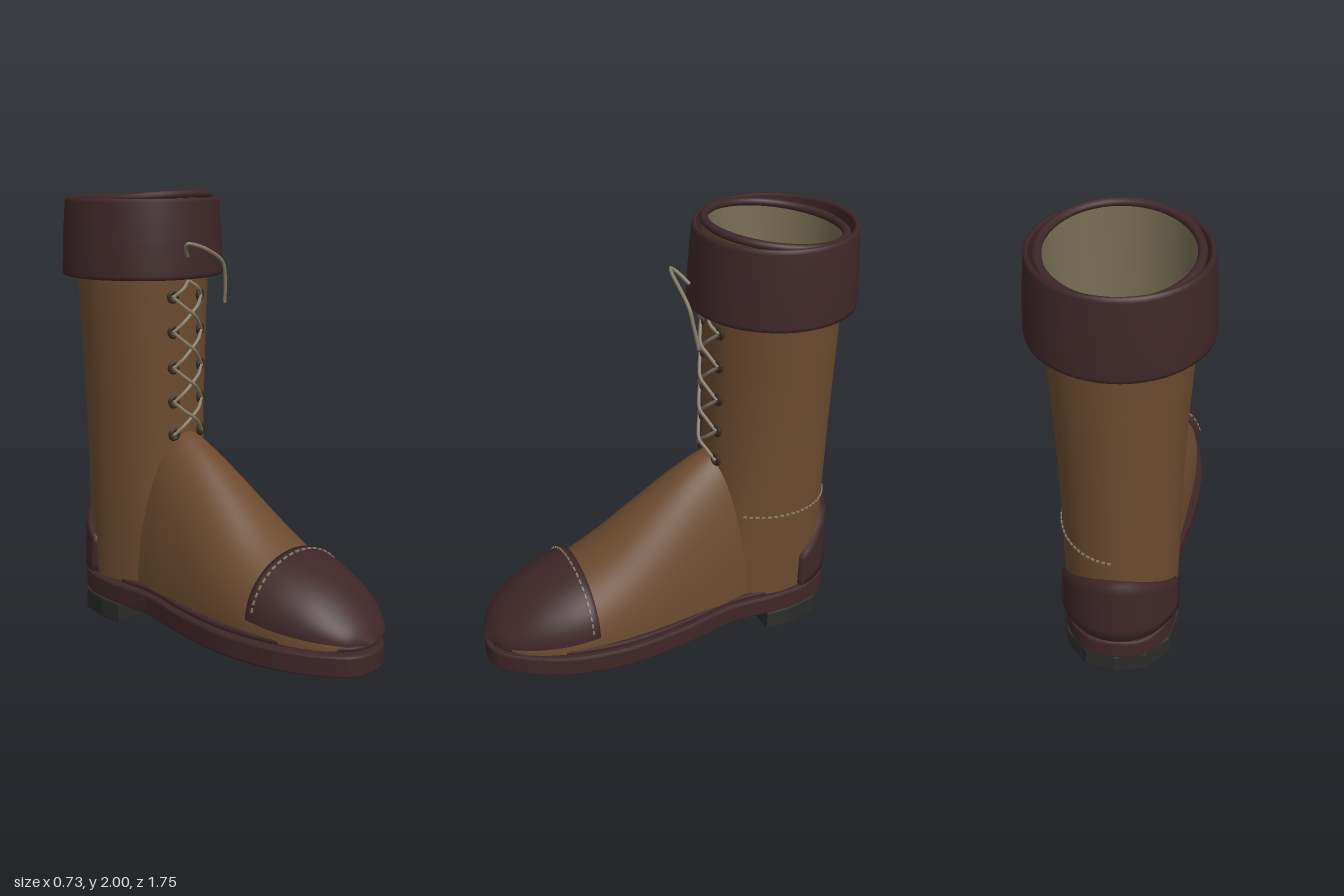
import * as THREE from 'three';
import { mergeVertices } from 'three/addons/utils/BufferGeometryUtils.js';

const mat = (name, color, side = THREE.FrontSide) => {
  const m = new THREE.MeshStandardMaterial({ color, side });
  m.name = name;
  return m;
};
const V = (x, y, z) => new THREE.Vector3(x, y, z);

// Smooth surface from a rule P(i, j) over a grid of nu x nv cells
function grid(nu, nv, P) {
  const pos = [], idx = [];
  for (let j = 0; j <= nv; j++)
    for (let i = 0; i <= nu; i++) pos.push(...P(i, j));
  for (let j = 0; j < nv; j++)
    for (let i = 0; i < nu; i++) {
      const a = j * (nu + 1) + i, b = a + nu + 1;
      idx.push(a, a + 1, b + 1, a, b + 1, b);
    }
  let g = new THREE.BufferGeometry();
  g.setAttribute('position', new THREE.Float32BufferAttribute(pos, 3));
  g.setIndex(idx);
  g = mergeVertices(g, 1e-5);
  g.computeVertexNormals();
  return g;
}

// Upright tube; rows are [y, half width, front depth, back depth, tilt]
const AXIS = -0.51;
function ringLoft(rows, inset = 0) {
  const n = 56;
  return grid(n, rows.length - 1, (i, j) => {
    const [y, rx, f, b, tilt = 0] = rows[j];
    const a = ((i % n) / n) * Math.PI * 2, c = Math.cos(a);
    const z = c * ((c > 0 ? f : b) - inset);
    return [(rx - inset) * Math.sin(a), y + tilt * z, AXIS + z];
  });
}

// Half-dome lofted along z; rows are [z, top, half width, base]
function domeLoft(rows, lip) {
  const along = k => new THREE.CatmullRomCurve3(rows.map(r => V(r[0], r[k], 0))).getPoints(36);
  const tops = along(1), widths = along(2), bases = along(3);
  const s = tops.map((p, i) => [p.x, p.y, widths[i].y, bases[i].y]);
  if (lip) s.unshift(lip);
  return grid(36, s.length - 1, (i, j) => {
    const [z, top, w, base] = s[j], a = (i / 36) * Math.PI;
    return [w * Math.cos(a), base + (top - base) * Math.sin(a), z];
  });
}

// Flat plate with a rounded edge, from a half outline of [x, z] points
function plate(half, top, bottom, bevel, smooth = true) {
  const mirror = half.slice(1, half[0][0] === 0 ? -1 : undefined);
  const left = (half[0][0] === 0 ? mirror : half.slice(0, -1)).map(([x, z]) => [-x, z]).reverse();
  let pts = [...half, ...left].map(([x, z]) => V(x, z, 0));
  if (smooth) pts = new THREE.CatmullRomCurve3(pts, true).getPoints(72).slice(0, -1);
  const g = new THREE.ExtrudeGeometry(new THREE.Shape(pts.map(p => new THREE.Vector2(p.x, p.y))), {
    depth: top - bottom - 2 * bevel, bevelThickness: bevel, bevelSize: bevel, bevelOffset: -bevel, bevelSegments: 2,
  });
  return g.rotateX(Math.PI / 2).translate(0, top - bevel, 0);
}

export function createModel() {
  const boot = new THREE.Group();
  boot.name = 'boot';
  const brown = mat('brown leather', 0x6b4a2f, THREE.DoubleSide);
  const maroon = mat('dark maroon leather', 0x3f2628, THREE.DoubleSide);
  const cream = mat('lining', 0x776d54, THREE.DoubleSide);
  const cord = mat('lace cord', 0x857b66);
  const black = mat('heel rubber', 0x2c2b2a);
  const metal = mat('eyelet', 0x35281f);
  const add = (name, geo, material, parent = boot) => {
    const m = new THREE.Mesh(geo, material);
    m.name = name;
    parent.add(m);
    return m;
  };
  const group = name => {
    const g = new THREE.Group();
    g.name = name;
    boot.add(g);
    return g;
  };

  // Sole, welt and heel block
  const outline = [[0, 0.872], [0.1, 0.845], [0.2, 0.72], [0.27, 0.57], [0.305, 0.4], [0.314, 0.25], [0.288, 0],
    [0.24, -0.25], [0.247, -0.5], [0.222, -0.68], [0.13, -0.8], [0, -0.83]];
  add('sole', plate(outline, 0.19, 0.095, 0.01), maroon);
  add('welt', plate(outline.map(([x, z]) => [x * 0.97, 0.02 + (z - 0.02) * 0.985]), 0.226, 0.203, 0.008), maroon);
  add('heel', plate([[0.25, -0.435], [0.256, -0.55], [0.225, -0.7], [0.13, -0.8], [0, -0.83]], 0.098, 0, 0.008, false), black);

  // Shaft with its lining and tilted rim
  const shaft = [[0.21, 0.245, 0.36, 0.288], [0.5, 0.25, 0.33, 0.288], [0.65, 0.252, 0.31, 0.288], [0.8, 0.255, 0.292, 0.29],
    [1, 0.26, 0.29, 0.292], [1.2, 0.27, 0.29, 0.295], [1.4, 0.282, 0.292, 0.298], [1.62, 0.297, 0.296, 0.3],
    [1.95, 0.308, 0.305, 0.305, 0.11]];
  add('shaft', ringLoft(shaft), brown);
  add('lining', ringLoft(shaft, 0.018), cream);
  const rim = new THREE.TorusGeometry(0.298, 0.018, 10, 56).rotateX(Math.PI / 2 - 0.11);
  add('rim', rim, maroon).position.set(0, 1.95, AXIS);

  // Turned-down cuff
  const cuff = [[0.34, 1.625], [0.352, 1.62], [0.364, 1.624], [0.366, 1.64], [0.36, 1.78], [0.348, 1.95], [0.343, 1.965],
    [0.331, 1.967], [0.326, 1.955], [0.333, 1.8], [0.34, 1.625]].map(p => new THREE.Vector2(...p));
  add('cuff', new THREE.LatheGeometry(cuff, 56), maroon).position.z = AXIS;

  // Vamp and toe cap
  add('vamp', domeLoft([[-0.67, 0.9, 0.19, 0.21], [-0.45, 0.92, 0.2, 0.21], [-0.32, 0.935, 0.216, 0.21],
    [-0.22, 0.925, 0.235, 0.21], [-0.1, 0.865, 0.25, 0.21], [0, 0.8, 0.262, 0.21], [0.15, 0.69, 0.278, 0.21],
    [0.3, 0.58, 0.285, 0.21], [0.43, 0.505, 0.28, 0.21], [0.6, 0.435, 0.25, 0.21], [0.75, 0.34, 0.18, 0.21],
    [0.84, 0.25, 0.08, 0.21]]), brown);
  add('toeCap', domeLoft([[0.43, 0.525, 0.297, 0.285], [0.55, 0.487, 0.28, 0.268], [0.67, 0.432, 0.24, 0.255],
    [0.76, 0.367, 0.19, 0.245], [0.83, 0.3, 0.125, 0.235], [0.873, 0.235, 0.02, 0.225]], [0.43, 0.5, 0.27, 0.285]), maroon);

  // Heel counter wrapped round the back of the shaft, edges turned in
  const nu = 32, nv = 8, start = Math.acos(-0.1 / 0.33);
  add('heelCounter', grid(nu, nv, (i, j) => {
    const u = Math.min(Math.max((i - 1) / (nu - 2), 0), 1), v = Math.min(Math.max((j - 1) / (nv - 2), 0), 1);
    const a = start + u * 2 * (Math.PI - start);
    const rim = i === 0 || i === nu || j === 0 || j === nv;
    const out = rim ? 0 : 0.044 - 0.012 * v;
    const c = Math.cos(a), back = Math.max(0, (-c * 0.33 - 0.1) / 0.23);
    const top = 0.385 + 0.16 * back ** 1.15;
    return [(0.246 + out * 0.6) * Math.sin(a), 0.218 + (top - 0.218) * v, AXIS + (0.288 + out) * c];
  }), maroon);

  // Rows of stitches along a rule
  const stitches = (name, n, at) => {
    const g = group(name);
    for (let i = 0; i < n; i++) {
      const p = at(i / n), q = at((i + 0.6) / n);
      const dash = add('stitch', new THREE.BoxGeometry(0.007, 0.007, p.distanceTo(q)), cord, g);
      dash.position.copy(p).lerp(q, 0.5);
      dash.lookAt(q);
    }
  };
  stitches('toeStitching', 22, t => {
    const a = 0.12 + t * (Math.PI - 0.24);
    return V(0.294 * Math.cos(a), 0.282 + 0.238 * Math.sin(a), 0.46);
  });
  stitches('ankleStitching', 24, t => {
    const a = 0.88 + t * (Math.PI - 0.9);
    return V(0.256 * Math.sin(a), 0.657 - 0.015 * t, AXIS + (a < Math.PI / 2 ? 0.313 : 0.292) * Math.cos(a));
  });

  // Eyelets and crossed laces
  const rows = [0.92, 1.07, 1.225, 1.385, 1.54];
  const eyelets = group('eyelets'), laces = group('laces');
  const lace = (name, pts) => add(name, new THREE.TubeGeometry(
    new THREE.CatmullRomCurve3(pts.map(p => V(...p))), 24, 0.008, 8), cord, laces);
  for (const s of [-1, 1])
    rows.forEach((y, i) => {
      const ring = add('eyelet', new THREE.TorusGeometry(0.02, 0.009, 8, 16), metal, eyelets);
      ring.position.set(s * 0.082, y, -0.222);
      ring.rotation.y = s * 0.28;
      const next = rows[i + 1];
      if (next) lace('lace', [[s * 0.085, y, -0.218], [s * 0.045, y + 0.04, -0.195],
        [0, (y + next) / 2, s > 0 ? -0.178 : -0.192], [-s * 0.045, next - 0.04, -0.195], [-s * 0.085, next, -0.218]]);
      else lace('topLace', [[s * 0.085, y, -0.218], [s * 0.045, y + 0.035, -0.195], [0, 1.61, -0.21]]);
    });
  lace('looseLace', [[-0.06, 1.72, -0.15], [-0.1, 1.757, -0.12], [-0.118, 1.782, -0.09], [-0.08, 1.775, -0.077],
    [0, 1.745, -0.073], [0.085, 1.69, -0.078], [0.11, 1.61, -0.09], [0.125, 1.51, -0.108]]);

  return boot;
}
